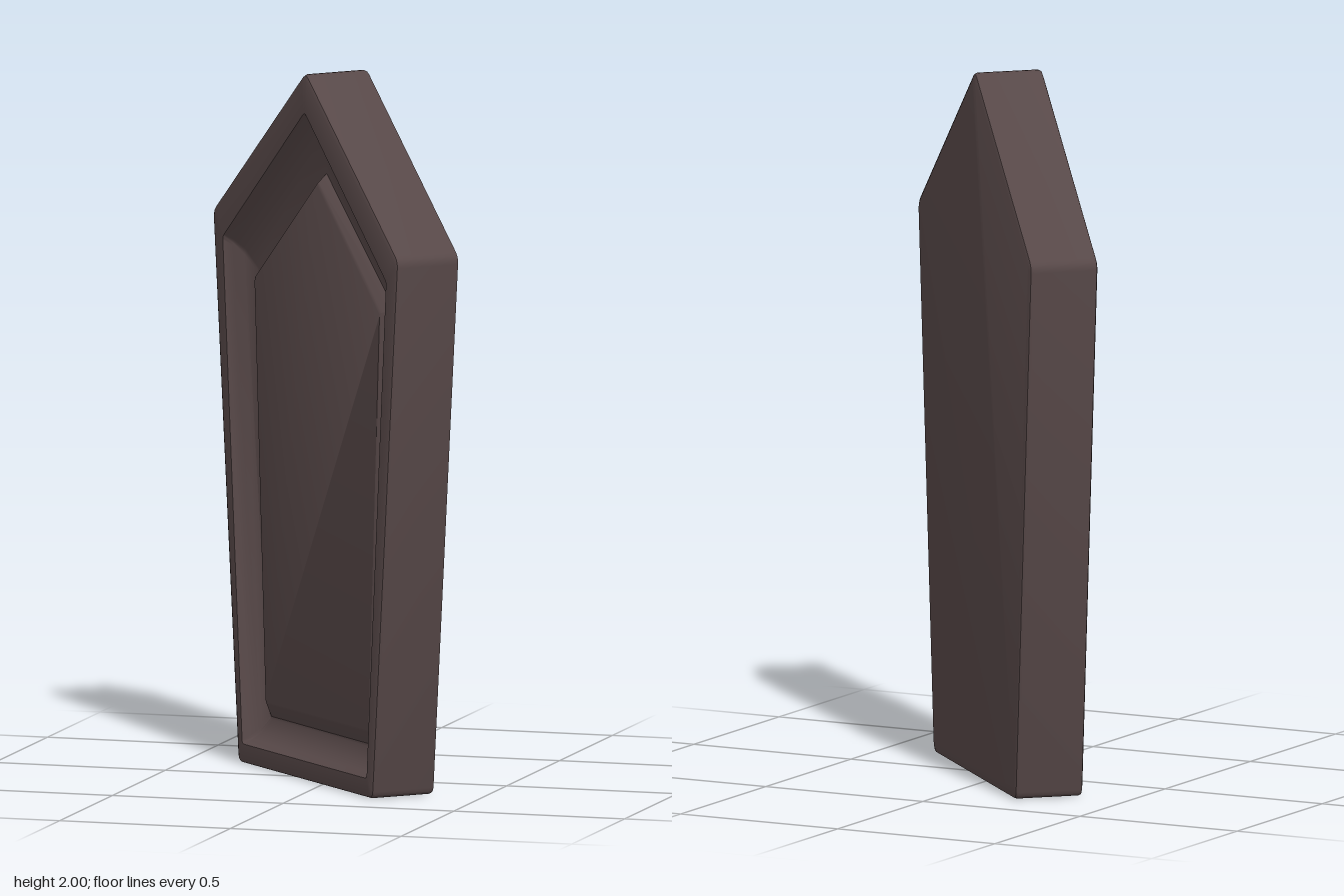
import * as THREE from 'three';
import { toCreasedNormals } from 'three/addons/utils/BufferGeometryUtils.js';

// Five-sided coffin outline at depth z, corners slightly rounded, counter-clockwise.
function outline([bottomHalf, shoulderHalf, yBottom, yShoulder, yApex, z, r]) {
  const corners = [
    [-bottomHalf, yBottom], [bottomHalf, yBottom], [shoulderHalf, yShoulder],
    [0, yApex], [-shoulderHalf, yShoulder],
  ].map(([x, y]) => new THREE.Vector2(x, y));
  const points = [];
  corners.forEach((c, i) => {
    const toward = (o) => c.clone().add(o.clone().sub(c).setLength(r));
    const bend = new THREE.QuadraticBezierCurve(
      toward(corners[(i + 4) % 5]), c, toward(corners[(i + 1) % 5]));
    for (const p of bend.getPoints(3)) points.push([p.x, p.y, z]);
  });
  return points;
}

// Skin a list of outlines; cap the last one, and the first one if asked.
function loft(sections, capStart) {
  const rings = sections.map(outline);
  const n = rings[0].length;
  const positions = [], index = [];
  rings.forEach((ring) => ring.forEach((p) => positions.push(...p)));
  for (let k = 0; k < rings.length - 1; k++) {
    for (let i = 0; i < n; i++) {
      const a = k * n + i, b = k * n + (i + 1) % n;
      index.push(a, b, b + n, a, b + n, a + n);
    }
  }
  const last = (rings.length - 1) * n;
  for (let i = 1; i < n - 1; i++) {
    index.push(last, last + i, last + i + 1);
    if (capStart) index.push(0, i + 1, i);
  }
  const geometry = new THREE.BufferGeometry();
  geometry.setAttribute('position', new THREE.Float32BufferAttribute(positions, 3));
  geometry.setIndex(index);
  return toCreasedNormals(geometry, 0.6);
}

export function createModel() {
  const group = new THREE.Group();
  const material = new THREE.MeshStandardMaterial({ color: 0x574848 });
  const add = (name, geometry) => {
    const mesh = new THREE.Mesh(geometry, material);
    mesh.name = name;
    group.add(mesh);
  };

  // Slab with eased edges, a flat rim and a hollowed recess in its front
  // columns: bottom half, shoulder half, bottom y, shoulder y, apex y, z, corner radius
  add('coffinFrame', loft([
    [0.392, 0.543, 0.012, 1.535, 1.988, -0.1, 0.02],
    [0.401, 0.552, 0.003, 1.54, 2.0, -0.096, 0.02],
    [0.404, 0.555, 0, 1.54, 2.004, -0.088, 0.02],
    [0.404, 0.555, 0, 1.54, 2.004, 0.088, 0.02],
    [0.401, 0.552, 0.003, 1.54, 2.0, 0.096, 0.02],
    [0.392, 0.543, 0.012, 1.535, 1.988, 0.1, 0.02],
    [0.373, 0.49, 0.055, 1.475, 1.89, 0.1, 0.01],
    [0.365, 0.475, 0.068, 1.46, 1.865, 0.075, 0.01],
    [0.355, 0.452, 0.088, 1.435, 1.82, 0.05, 0.01],
    [0.335, 0.41, 0.125, 1.39, 1.73, 0.03, 0.01],
  ], true));

  // Raised panel with sloping sides in the recess
  add('raisedPanel', loft([
    [0.335, 0.405, 0.13, 1.385, 1.715, 0.028, 0.006],
    [0.312, 0.38, 0.172, 1.37, 1.69, 0.056, 0.006],
    [0.308, 0.375, 0.18, 1.365, 1.68, 0.06, 0.006],
  ], false));

  // The slab stands turned an eighth of a circle
  group.rotation.y = -Math.PI / 4;
  const model = new THREE.Group();
  model.name = 'coffin';
  group.name = 'turnedCoffin';
  model.add(group);
  return model;
}
